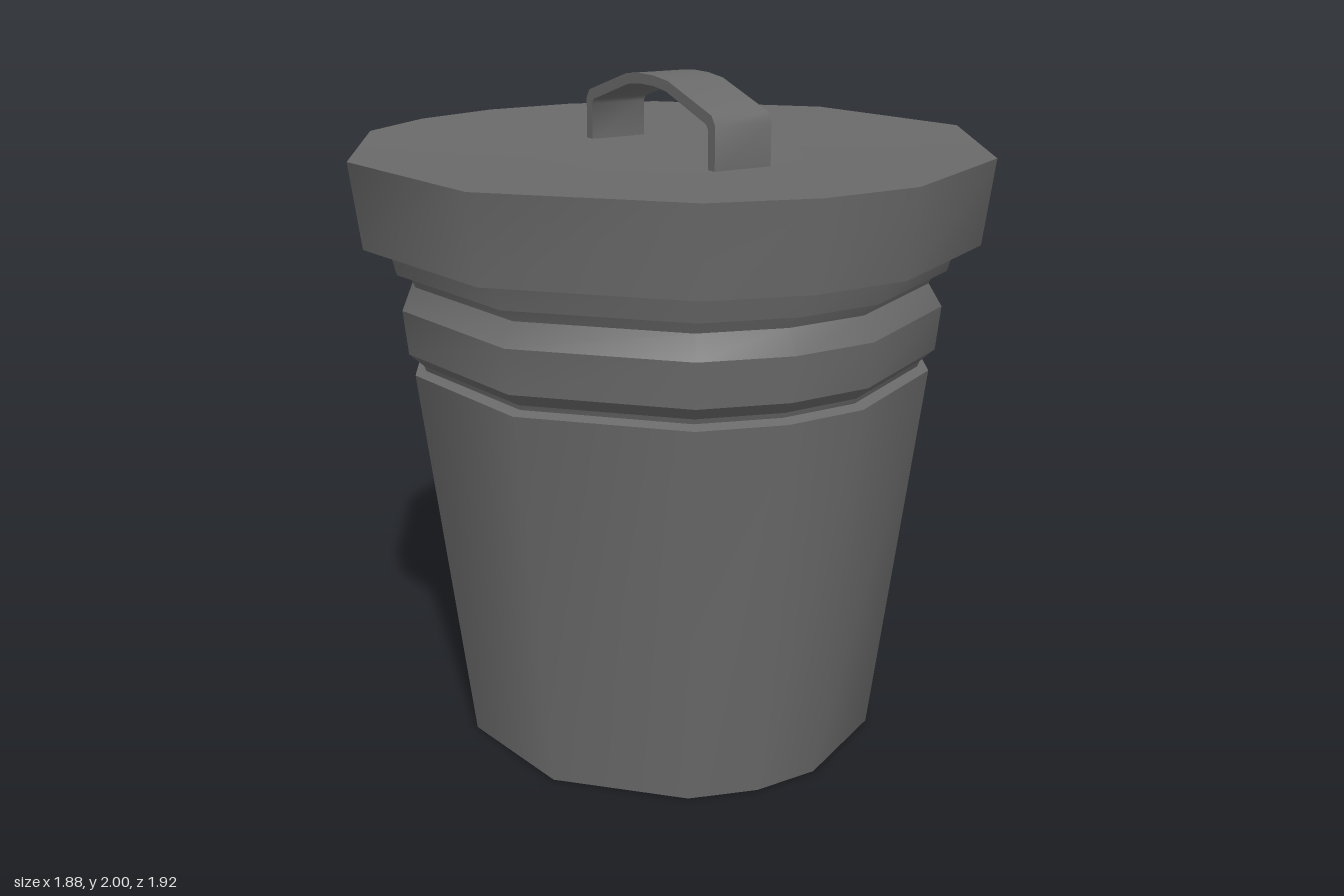
import * as THREE from 'three';
import { toCreasedNormals } from 'three/addons/utils/BufferGeometryUtils.js';

// Irregular outline of the bin (x, z), at full lid size
const OUTLINE = [
  [0.02, -0.96], [0.59, -0.785], [0.937, -0.23], [0.937, 0.297], [0.805, 0.56],
  [0.59, 0.775], [0.02, 0.957], [-0.543, 0.775], [-0.892, 0.297], [-0.939, 0],
  [-0.892, -0.3], [-0.755, -0.57], [-0.543, -0.785],
];
const CX = 0.015;
const FULL = 0.94;
const scaled = (r) => OUTLINE.map(([x, z]) => [CX + (x - CX) * r / FULL, z * r / FULL]);

// Dark grey all over
const material = new THREE.MeshStandardMaterial({ color: 0x6a6a6a, side: THREE.DoubleSide });

function part(geometry, name) {
  const mesh = new THREE.Mesh(geometry, material);
  mesh.name = name;
  return mesh;
}

// One wall strip between two rings: smooth around, hard at its upper and lower edges
function band([r0, y0], [r1, y1], name) {
  const n = OUTLINE.length;
  const positions = [];
  const index = [];
  for (const [r, y] of [[r0, y0], [r1, y1]]) {
    for (const [x, z] of scaled(r)) positions.push(x, y, z);
  }
  for (let i = 0; i < n; i++) {
    const j = (i + 1) % n;
    index.push(j, i, n + i, j, n + i, n + j);
  }
  const geometry = new THREE.BufferGeometry();
  geometry.setAttribute('position', new THREE.Float32BufferAttribute(positions, 3));
  geometry.setIndex(index);
  geometry.computeVertexNormals();
  return part(geometry, name);
}

// Flat disc closing a ring, facing up or down
function cap(r, y, up, name) {
  const shape = new THREE.Shape(scaled(r).map(([x, z]) => new THREE.Vector2(x, up ? -z : z)));
  const geometry = new THREE.ShapeGeometry(shape);
  geometry.rotateX(up ? -Math.PI / 2 : Math.PI / 2);
  geometry.translate(0, y, 0);
  return part(geometry, name);
}

function bands(profile, name) {
  const group = new THREE.Group();
  group.name = name;
  for (let i = 0; i < profile.length - 1; i++) {
    group.add(band(profile[i], profile[i + 1], name + 'Band' + (i + 1)));
  }
  return group;
}

// Arched strap handle: half profile mirrored, then extruded to its width
function makeHandle() {
  const outer = [[0.371, 1.765], [0.371, 1.895], [0.352, 1.922], [0.12, 1.992], [0.04, 2]];
  const inner = [[0.04, 1.97], [0.11, 1.962], [0.325, 1.895], [0.336, 1.88], [0.336, 1.765]];
  const mirror = (points) => points.map(([x, y]) => [-x, y]).reverse();
  const points = [...outer, ...mirror(outer), ...mirror(inner), ...inner];
  const shape = new THREE.Shape(points.map(([x, y]) => new THREE.Vector2(x, y)));
  const width = 0.184;
  const geometry = new THREE.ExtrudeGeometry(shape, { depth: width, bevelEnabled: false });
  geometry.translate(0, 0, -width / 2);
  const handle = part(toCreasedNormals(geometry, 0.7), 'handle');
  handle.rotation.y = -0.475;
  handle.position.x = 0.026;
  return handle;
}

export function createModel() {
  const model = new THREE.Group();
  model.name = 'bin';

  // Tapered bucket
  const body = bands([[0.643, 0], [0.782, 1.17], [0.75, 1.18]], 'body');
  body.add(cap(0.643, 0, false, 'base'));

  // Bulging ring and neck above the bucket
  const collar = bands([[0.75, 1.18], [0.755, 1.195], [0.797, 1.235], [0.81, 1.365],
    [0.77, 1.43], [0.785, 1.465]], 'collar');

  // Lid with a stepped rim and a top that dips slightly towards the handle
  const lid = bands([[0.785, 1.465], [0.82, 1.47], [0.84, 1.55], [0.91, 1.55],
    [0.94, 1.797], [0.4, 1.772]], 'lid');
  lid.add(cap(0.4, 1.772, true, 'lidCentre'));

  model.add(body, collar, lid, makeHandle());
  return model;
}
